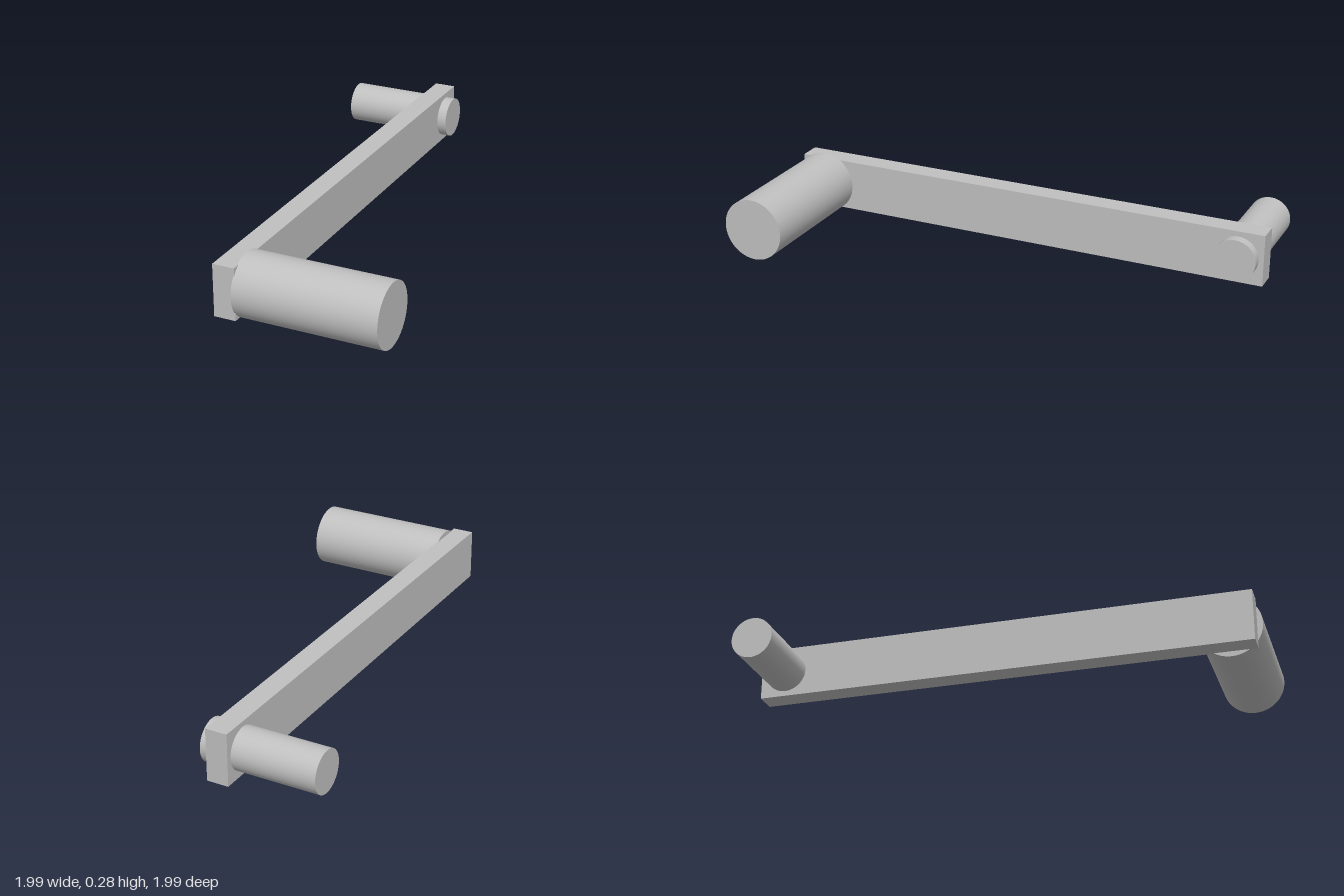
import * as THREE from 'three';

export function createModel() {
  const model = new THREE.Group();
  model.name = 'crank';
  const greyMetal = new THREE.MeshStandardMaterial({ color: 0xc0c0c0 });
  greyMetal.name = 'greyMetal';

  // Local frame: arm runs along z, both cylinders run along x
  const crank = new THREE.Group();
  crank.name = 'crankBody';
  crank.position.set(-0.125, 0.139, -0.005);
  crank.rotation.y = 0.489;
  model.add(crank);

  const add = (name, geometry, x, z) => {
    const mesh = new THREE.Mesh(geometry, greyMetal);
    mesh.name = name;
    mesh.position.set(x, 0, z);
    crank.add(mesh);
  };

  // Cylinder lying along x between two ends
  const rod = (name, radius, x0, x1, z) => {
    const geometry = new THREE.CylinderGeometry(radius, radius, x1 - x0, 64);
    geometry.rotateZ(-Math.PI / 2);
    add(name, geometry, (x0 + x1) / 2, z);
  };

  // Flat connecting arm
  add('arm', new THREE.BoxGeometry(0.096, 0.23, 2.203), 0, 0);

  // Thick handle on the front end, starting at the arm's face
  rod('handle', 0.138, 0.044, 0.669, 0.989);

  // Thin shaft passing through the back end
  rod('shaft', 0.092, -0.417, 0.091, -0.987);

  return model;
}
